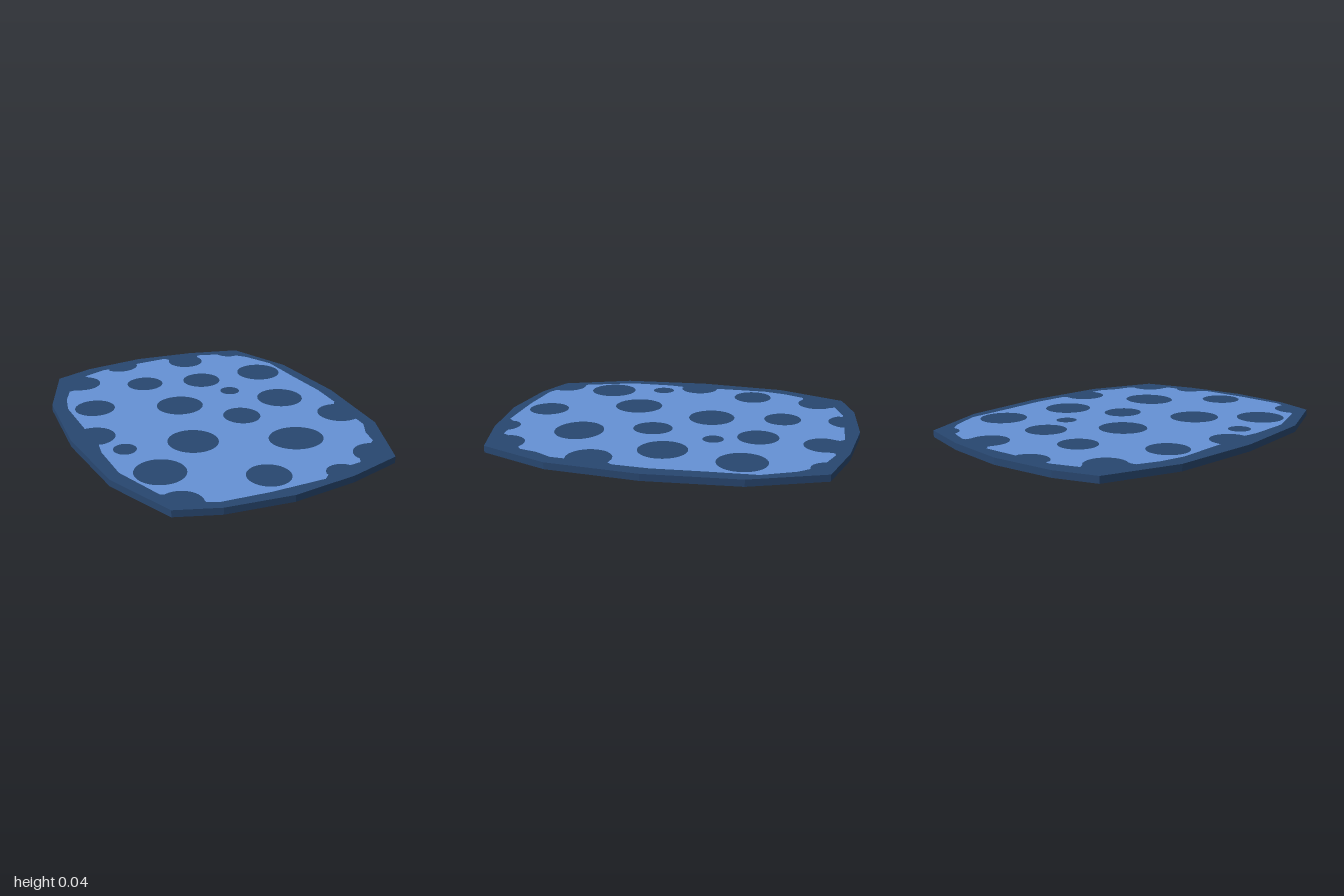
import * as THREE from 'three';

const HEIGHT = 0.04;
const SHEET = 0.002;

// Half of the faceted rug outline as [x, z], mirrored front to back
const EDGE = [[-0.803, 0], [-0.763, -0.495], [-0.61, -0.88], [-0.39, -0.96],
  [-0.04, -1], [0.31, -0.96], [0.61, -0.88], [0.763, -0.495], [0.803, 0]];

// Inner field outline: [x, z] is a corner, [x, z, r] is a round spot biting in from the border
const FIELD = [
  [-0.455, -0.845], [-0.31, -0.9], [-0.28, -0.895], [-0.195, -0.93, 0.107], [-0.095, -0.915],
  [0.11, -0.925], [0.13, -0.9], [0.217, -0.825, 0.107], [0.325, -0.885], [0.35, -0.89],
  [0.465, -0.85], [0.545, -0.862, 0.083], [0.57, -0.775], [0.614, -0.725], [0.695, -0.555],
  [0.71, -0.29], [0.73, -0.03], [0.72, 0.16], [0.7, 0.188], [0.655, 0.3, 0.118], [0.695, 0.413],
  [0.69, 0.49], [0.64, 0.58], [0.615, 0.68], [0.59, 0.7], [0.54, 0.805, 0.112], [0.435, 0.82],
  [0.415, 0.857], [0.375, 0.862], [0.28, 0.91, 0.085], [0.2, 0.9], [0.165, 0.93],
  [-0.13, 0.93], [-0.39, 0.91], [-0.44, 0.885], [-0.545, 0.84, 0.108], [-0.603, 0.73],
  [-0.655, 0.58], [-0.7, 0.45], [-0.705, 0.21], [-0.69, 0.116], [-0.677, 0.01, 0.11],
  [-0.695, -0.1], [-0.698, -0.4], [-0.667, -0.53], [-0.615, -0.645], [-0.587, -0.65],
  [-0.508, -0.735, 0.107], [-0.44, -0.815],
];

// Free-standing spots: x, z, radius along x, radius along z
const SPOTS = [
  [-0.165, -0.57, 0.106, 0.103], [0.17, -0.477, 0.111, 0.111], [0.55, -0.45, 0.13, 0.13],
  [-0.557, -0.345, 0.112, 0.11], [0.25, -0.25, 0.056, 0.056], [-0.107, -0.175, 0.132, 0.128],
  [0.465, -0.03, 0.13, 0.13], [0.147, 0.103, 0.102, 0.108], [-0.585, 0.222, 0.06, 0.063],
  [-0.233, 0.286, 0.133, 0.137], [-0.517, 0.527, 0.13, 0.134], [0.27, 0.483, 0.147, 0.133],
  [-0.06, 0.783, 0.111, 0.113],
];

// Shapes are drawn with y = -z, then laid flat
const point = ([x, z]) => new THREE.Vector2(x, -z);

// Turns the field list into points, sweeping each bite along its inner side
function fieldPoints() {
  const pts = [];
  FIELD.forEach((item, i) => {
    if (item.length === 2) return pts.push(point(item));
    const [cx, cz, r] = item;
    const angleTo = ([x, z]) => Math.atan2(z - cz, x - cx);
    const start = angleTo(FIELD[i - 1]);
    let end = angleTo(FIELD[(i + 1) % FIELD.length]);
    if (end > start) end -= Math.PI * 2;
    for (let k = 1; k < 20; k++) {
      const a = start + (end - start) * k / 20;
      pts.push(point([cx + r * Math.cos(a), cz + r * Math.sin(a)]));
    }
  });
  return pts;
}

export function createModel() {
  const navy = new THREE.MeshStandardMaterial({ color: 0x284770 });
  navy.name = 'navy';
  const blue = new THREE.MeshStandardMaterial({ color: 0x6592d6 });
  blue.name = 'blue';

  const rug = new THREE.Group();
  rug.name = 'rug';
  const add = (name, geometry, material, y) => {
    const mesh = new THREE.Mesh(geometry, material);
    mesh.name = name;
    mesh.position.y = y;
    rug.add(mesh);
  };

  // Faceted slab: border and sides
  const mirrored = EDGE.slice(1, -1).reverse().map(([x, z]) => [x, -z]);
  const outline = new THREE.Shape([...EDGE, ...mirrored].map(point));
  const slab = new THREE.ExtrudeGeometry(outline,
    { depth: HEIGHT - 2 * SHEET, bevelEnabled: false });
  add('rugBase', slab.rotateX(-Math.PI / 2), navy, SHEET);

  // Light underside, facing down
  add('underside', new THREE.ShapeGeometry(outline).rotateX(Math.PI / 2), blue, 0);

  // Light field with the spots cut out, letting the base show through
  const field = new THREE.Shape(fieldPoints());
  for (const [x, z, rx, rz] of SPOTS) {
    const hole = new THREE.Path();
    hole.absellipse(x, -z, rx, rz, 0, Math.PI * 2, true);
    field.holes.push(hole);
  }
  add('spottedField', new THREE.ShapeGeometry(field, 24).rotateX(-Math.PI / 2), blue, HEIGHT);

  return rug;
}
